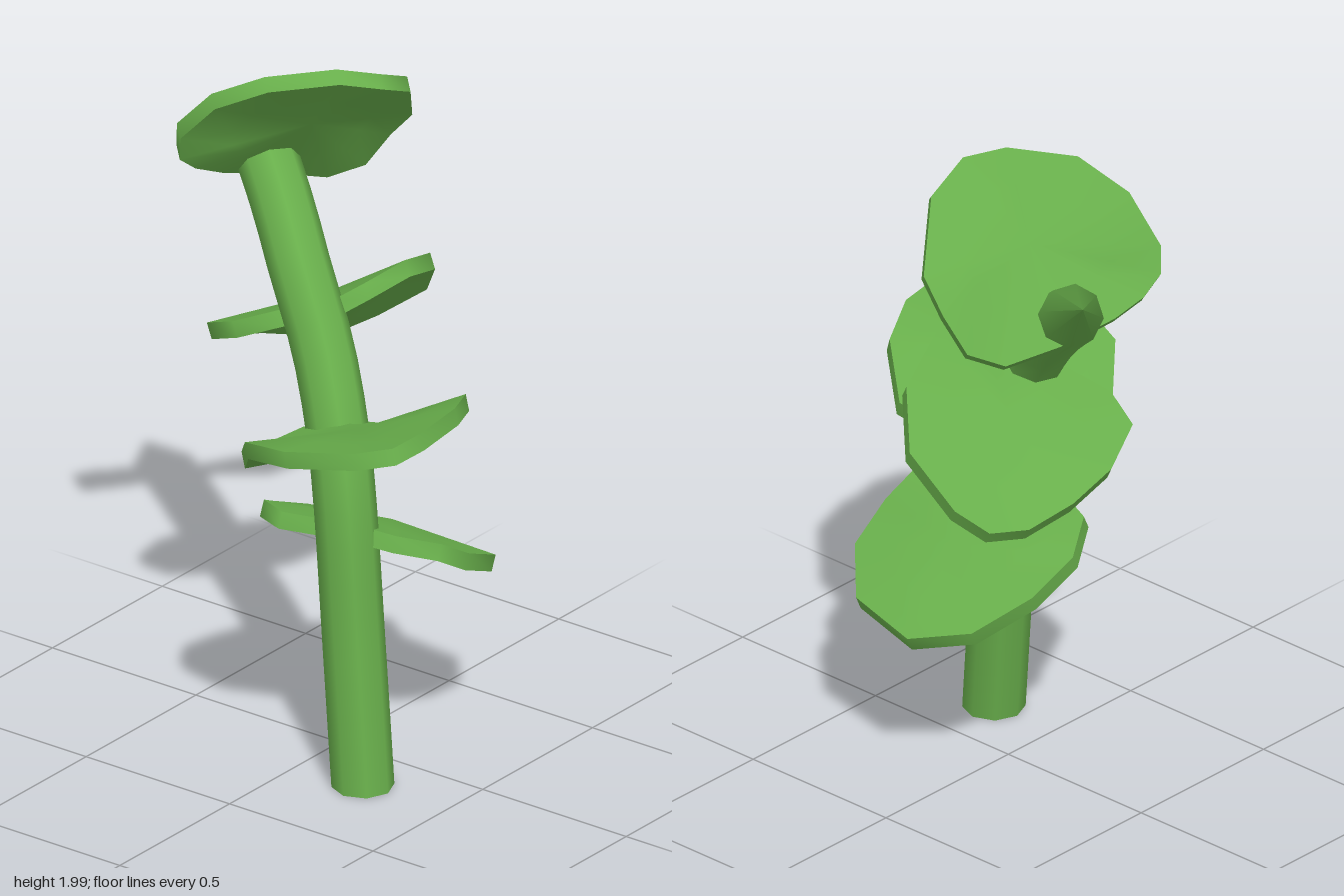
import * as THREE from 'three';

const V = (p) => new THREE.Vector3(...p);

// Thick leaf pad: a closed rim of points, a middle point, top and bottom skins and an edge band
function makeLeaf(name, rimPoints, middle, material, thickness = 0.048) {
  let rim = rimPoints.map(V);
  const centre = V(middle);
  const normal = new THREE.Vector3();
  const addUp = (a, b) => normal.add(a.clone().sub(centre).cross(b.clone().sub(centre)));
  rim.forEach((p, i) => addUp(p, rim[(i + 1) % rim.length]));
  if (normal.y < 0) { rim = rim.reverse(); normal.negate(); }
  normal.normalize();

  const n = rim.length, pos = [], idx = [];
  const put = (p, offset) => {
    const q = p.clone().addScaledVector(normal, offset);
    pos.push(q.x, q.y, q.z);
    return pos.length / 3 - 1;
  };
  // Top and bottom skins, with one inner ring for soft shading
  for (const side of [1, -1]) {
    const h = side * thickness / 2;
    const c = put(centre, h);
    for (const t of [0.6, 1]) rim.forEach((p) => put(centre.clone().lerp(p, t), h));
    for (let i = 0; i < n; i++) {
      const j = (i + 1) % n;
      const a = c + 1 + i, b = c + 1 + j, d = a + n, e = b + n;
      const tris = [[c, a, b], [a, d, e], [a, e, b]];
      for (const [u, v, w] of tris) side > 0 ? idx.push(u, v, w) : idx.push(u, w, v);
    }
  }
  // Edge band, with its own vertices so the edges stay sharp
  const band = pos.length / 3;
  rim.forEach((p) => { put(p, thickness / 2); put(p, -thickness / 2); });
  for (let i = 0; i < n; i++) {
    const a = band + 2 * i, b = band + 2 * ((i + 1) % n);
    idx.push(a, a + 1, b + 1, a, b + 1, b);
  }
  const geometry = new THREE.BufferGeometry();
  geometry.setAttribute('position', new THREE.Float32BufferAttribute(pos, 3));
  geometry.setIndex(idx);
  geometry.computeVertexNormals();
  const mesh = new THREE.Mesh(geometry, material);
  mesh.name = name;
  return mesh;
}

export function createModel() {
  const model = new THREE.Group();
  model.name = 'plant';
  const green = new THREE.MeshStandardMaterial({ color: 0x68ae4b, side: THREE.DoubleSide });
  green.name = 'leafGreen';

  // Bending stem, open and flat at the foot, its last ring drawn together into a point
  const path = new THREE.CatmullRomCurve3([
    [-0.18, 0, 0.22], [-0.15, 0.42, 0.165], [-0.12, 0.83, 0.11], [-0.085, 1.0, 0.06],
    [-0.015, 1.2, -0.045], [0.055, 1.385, -0.18], [0.135, 1.51, -0.3], [0.23, 1.645, -0.455],
    [0.27, 1.705, -0.53],
  ].map(V));
  const rings = 20, sides = 8;
  const stemGeometry = new THREE.TubeGeometry(path, rings, 0.088, sides);
  const p = stemGeometry.attributes.position;
  const tip = path.getPoint(1);
  for (let i = 0; i <= sides; i++) {
    p.setY(i, 0);
    p.setXYZ(rings * (sides + 1) + i, tip.x, tip.y, tip.z);
  }
  const stem = new THREE.Mesh(stemGeometry, green);
  stem.name = 'stem';
  model.add(stem);

  // Leaves, from the lowest to the highest
  model.add(makeLeaf('lowestLeaf', [
    [0.045, 0.655, 0.412], [-0.06, 0.718, 0.395], [-0.115, 0.73, 0.28], [-0.125, 0.73, 0.14],
    [-0.19, 0.735, -0.06], [-0.15, 0.73, -0.155], [-0.04, 0.668, -0.215], [0.12, 0.6, -0.208],
    [0.26, 0.508, -0.11], [0.365, 0.48, 0.035], [0.325, 0.51, 0.265], [0.2, 0.585, 0.385],
  ], [0.1, 0.65, 0.1], green));

  model.add(makeLeaf('frontLeaf', [
    [-0.32, 0.96, -0.09], [-0.475, 1.085, 0.04], [-0.525, 1.125, 0.215], [-0.48, 1.16, 0.42],
    [-0.418, 1.18, 0.512], [-0.31, 1.19, 0.527], [-0.115, 1.185, 0.497], [0.035, 1.15, 0.42],
    [0.132, 1.035, 0.293], [0.1, 0.995, 0.2], [0.02, 0.985, 0.135], [-0.05, 1.0, 0.06],
    [-0.13, 0.985, -0.02], [-0.22, 0.952, -0.078],
  ], [-0.2, 1.072, 0.22], green));

  model.add(makeLeaf('sideLeaf', [
    [0.22, 1.39, 0.07], [0.425, 1.315, 0], [0.525, 1.185, -0.105], [0.52, 1.06, -0.27],
    [0.475, 1.005, -0.36], [0.385, 1.005, -0.425], [0.25, 1.05, -0.468], [0.1, 1.1, -0.472],
    [-0.05, 1.16, -0.415], [-0.083, 1.21, -0.3], [-0.035, 1.26, -0.18], [0.06, 1.29, -0.06],
    [0.1, 1.35, 0.02],
  ], [0.22, 1.215, -0.2], green));

  model.add(makeLeaf('topLeaf', [
    [0.1, 1.978, -0.08], [0.19, 1.953, 0], [0.33, 1.89, -0.01], [0.475, 1.735, -0.115],
    [0.488, 1.645, -0.2], [0.465, 1.54, -0.27], [0.395, 1.505, -0.35], [0.26, 1.545, -0.435],
    [0.1, 1.59, -0.49], [0.01, 1.63, -0.515], [-0.055, 1.68, -0.52], [-0.072, 1.755, -0.505],
    [-0.072, 1.88, -0.385], [-0.025, 1.957, -0.235],
  ], [0.19, 1.775, -0.25], green));

  return model;
}
